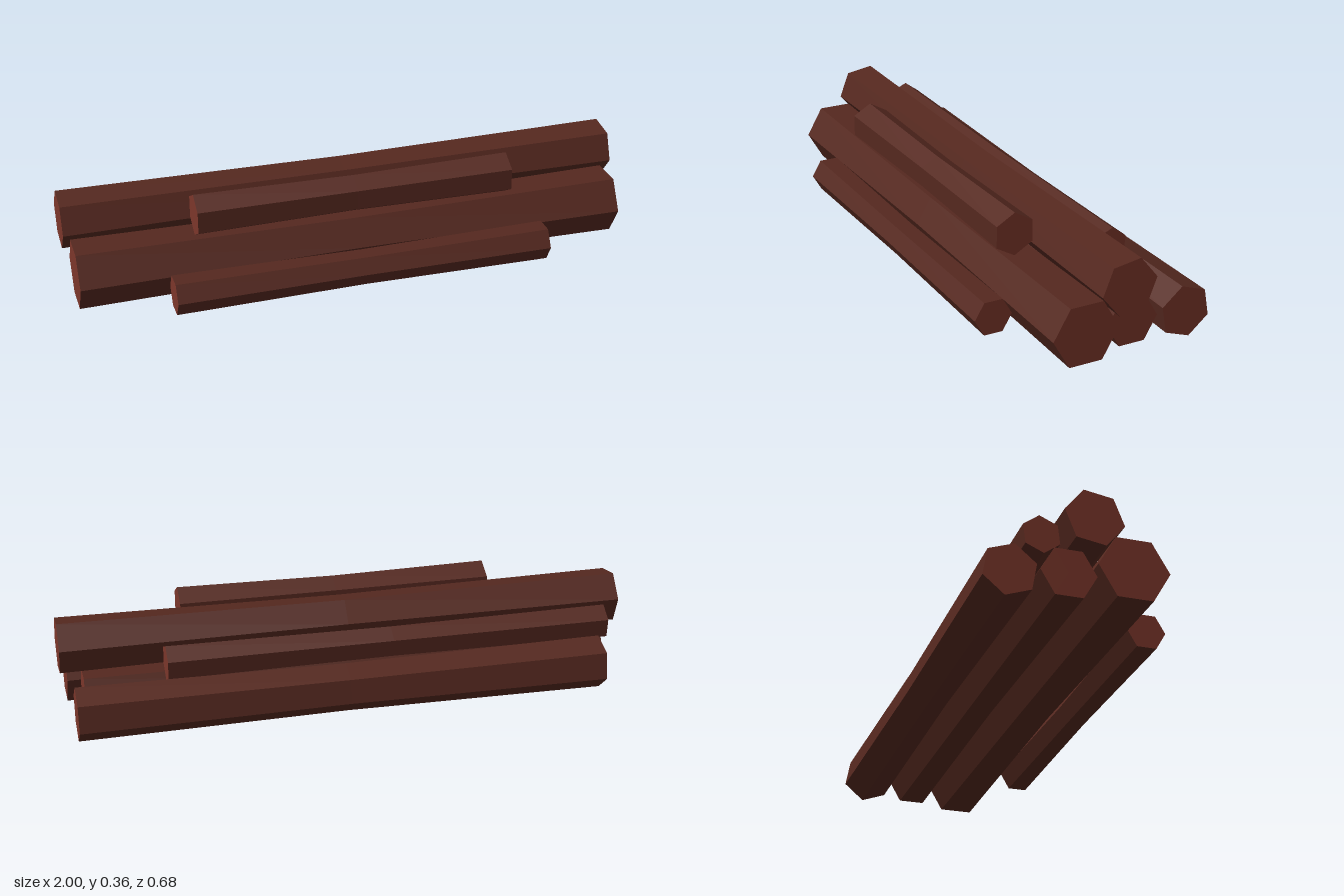
import * as THREE from 'three';

const bark = new THREE.MeshStandardMaterial({ color: 0x55281f, flatShading: true });
const cutWood = new THREE.MeshStandardMaterial({ color: 0x7c372b, flatShading: true });

// Ratio of the radius at the middle of a log to the radius at its ends
const WAIST = 0.9;

// Six-sided log lying along x, narrowing towards its middle.
// roll is the angle of one corner, in degrees from +z towards +y.
function makeLog({ name, y, z, radius, roll, from, to }) {
  const geometry = new THREE.CylinderGeometry(
    radius, radius, to - from, 6, 2, false, -THREE.MathUtils.degToRad(roll));
  const p = geometry.attributes.position;
  for (let i = 0; i < p.count; i++) {
    if (Math.abs(p.getY(i)) < 1e-4) {
      p.setX(i, p.getX(i) * WAIST);
      p.setZ(i, p.getZ(i) * WAIST);
    }
  }
  geometry.rotateZ(-Math.PI / 2);
  geometry.computeVertexNormals();
  const log = new THREE.Mesh(geometry, [bark, cutWood, cutWood]);
  log.name = name;
  log.position.set((from + to) / 2, y, z);
  return log;
}

const LOGS = [
  // Bottom row, front to back
  { name: 'frontSmallLog', y: 0.058, z: 0.276, radius: 0.067, roll: 0, from: -0.67, to: 0.665 },
  { name: 'frontLargeLog', y: 0.102, z: 0.116, radius: 0.118, roll: 0, from: -0.975, to: 0.972 },
  { name: 'middleLog', y: 0.08, z: -0.081, radius: 0.0925, roll: 0, from: -0.93, to: 0.925 },
  { name: 'backLog', y: 0.091, z: -0.254, radius: 0.093, roll: 79.8, from: -0.88, to: 0.965 },
  // Upper row, front to back
  { name: 'upperFrontLog', y: 0.279, z: 0.143, radius: 0.076, roll: 90, from: -0.565, to: 0.56 },
  { name: 'upperLargeLog', y: 0.246, z: -0.019, radius: 0.099, roll: 111.1, from: -1, to: 1 },
  { name: 'upperBackLog', y: 0.206, z: -0.1645, radius: 0.0655, roll: 96.4, from: -0.92, to: 0.65 },
];

export function createModel() {
  const pile = new THREE.Group();
  pile.name = 'logPile';
  for (const spec of LOGS) pile.add(makeLog(spec));
  return pile;
}
